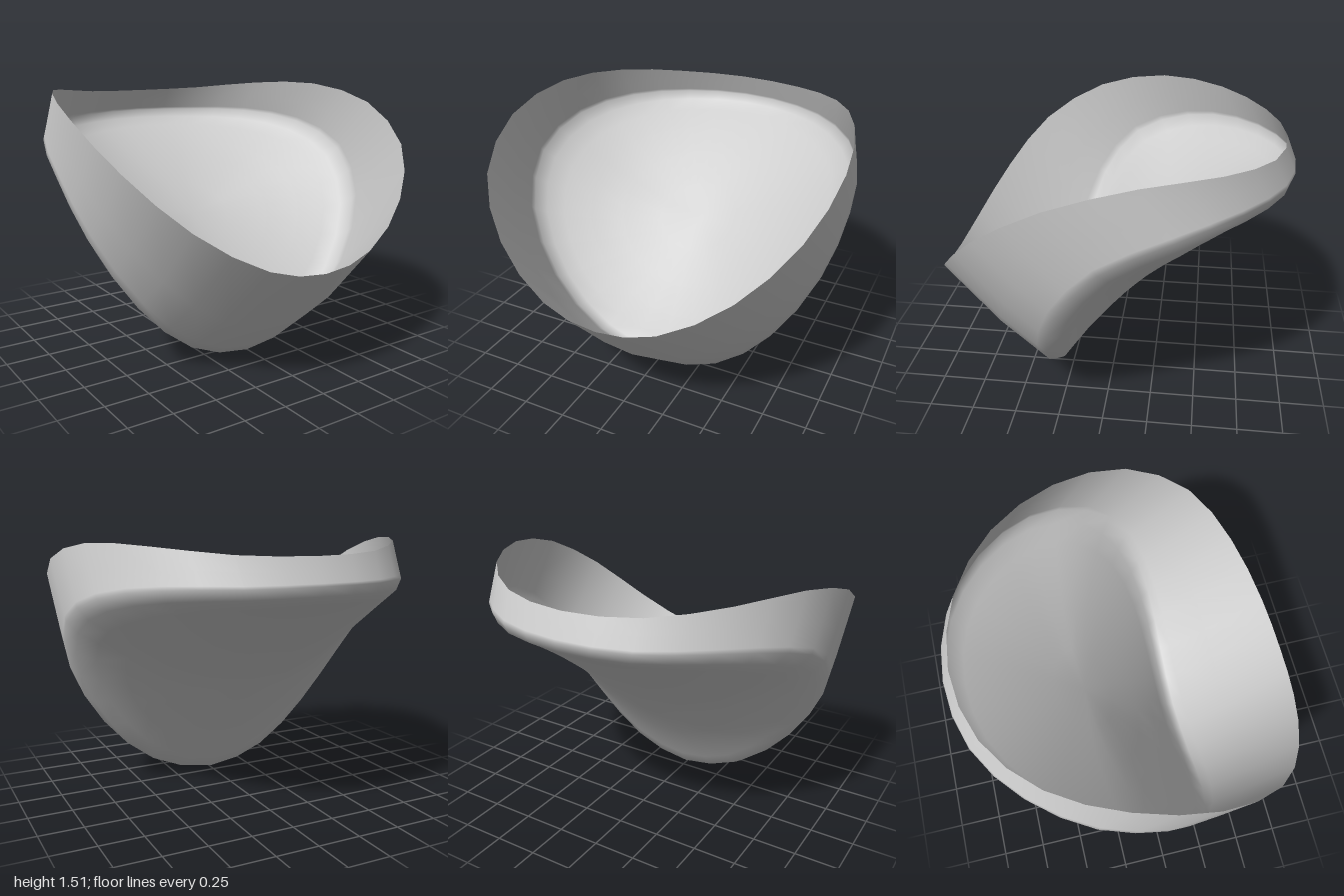
import * as THREE from 'three';
import { mergeVertices } from 'three/addons/utils/BufferGeometryUtils.js';

const SEGMENTS = 32;

// Closed curve from one half, given from back centre round the left side to front centre
function mirroredLoop(half) {
  const left = half.map((p) => new THREE.Vector3(...p));
  const right = left.slice(1, -1).reverse().map((p) => new THREE.Vector3(-p.x, p.y, p.z));
  return new THREE.CatmullRomCurve3([...left, ...right], true);
}

// Upper rim of the wall
const rimCurve = mirroredLoop([
  [0, 1.45, -0.93], [0.4, 1.46, -0.84], [0.72, 1.495, -0.58], [0.92, 1.5, -0.2], [1, 1.4, 0.23],
  [0.92, 1.18, 0.6], [0.68, 0.915, 0.83], [0.33, 0.705, 0.96], [0, 0.645, 0.99],
]);

// Edge where wall and floor meet
const edgeCurve = mirroredLoop([
  [0, 1.31, -0.99], [0.385, 1.305, -0.915], [0.7, 1.295, -0.69], [0.92, 1.235, -0.37], [0.99, 1.08, -0.02],
  [0.925, 0.78, 0.205], [0.705, 0.4, 0.315], [0.385, 0.107, 0.335], [0, 0, 0.33],
]);

// Saddle: a disc tilted by 45 degrees, arched along its length and troughed across
function saddlePoint(s, angle) {
  const x = 0.99 * s * Math.sin(angle);
  const v = -s * Math.cos(angle);
  const lift = Math.SQRT1_2 * (0.12 * (1 - v * v) + 0.44 * x * x);
  return new THREE.Vector3(x, 0.655 - 0.655 * v + lift, -0.33 + 0.66 * v + lift);
}

// Floor: the saddle pulled to the edge curve, a small rounded step below it
function floorPoint(s, k) {
  const angle = (k / SEGMENTS) * Math.PI * 2;
  const pull = edgeCurve.getPoint(k / SEGMENTS).sub(saddlePoint(1, angle));
  return saddlePoint(s, angle).addScaledVector(pull, s * s).add(new THREE.Vector3(0, -0.025, -0.025));
}

// Wall: from the edge (t = 0) through a bulged middle (t = 0.5) to the rim (t = 1)
function wallPoint(t, k) {
  const front = (1 - Math.cos((k / SEGMENTS) * Math.PI * 2)) / 2;
  const bulge = front * front * Math.min(t, 1 - t) * 2;
  return edgeCurve.getPoint(k / SEGMENTS)
    .lerp(rimCurve.getPoint(k / SEGMENTS), t)
    .add(new THREE.Vector3(0, -0.065 * bulge, -0.02 * bulge));
}

function shellGeometry() {
  const rings = [
    ...[1, 0.5, 0.1, 0].map((t) => (k) => wallPoint(t, k)),
    ...[0.95, 0.85, 0.7, 0.5, 0.25, 0].map((s) => (k) => floorPoint(s, k)),
  ];
  const positions = [];
  const index = [];
  rings.forEach((ring, i) => {
    for (let k = 0; k < SEGMENTS; k++) {
      positions.push(...ring(k).toArray());
      if (i === rings.length - 1) continue;
      const a = i * SEGMENTS + k;
      const b = i * SEGMENTS + ((k + 1) % SEGMENTS);
      const c = a + SEGMENTS;
      const d = b + SEGMENTS;
      index.push(a, b, c);
      if (i < rings.length - 2) index.push(b, d, c);
    }
  });
  let geometry = new THREE.BufferGeometry();
  geometry.setAttribute('position', new THREE.Float32BufferAttribute(positions, 3));
  geometry.setIndex(index);
  geometry = mergeVertices(geometry, 1e-4);
  geometry.computeVertexNormals();
  return geometry;
}

export function createModel() {
  const grey = new THREE.MeshStandardMaterial({ color: 0xcccccc, side: THREE.DoubleSide });
  grey.name = 'lightGrey';

  const shell = new THREE.Mesh(shellGeometry(), grey);
  shell.name = 'curvedShell';

  const group = new THREE.Group();
  group.name = 'bentBowl';
  group.add(shell);
  return group;
}
